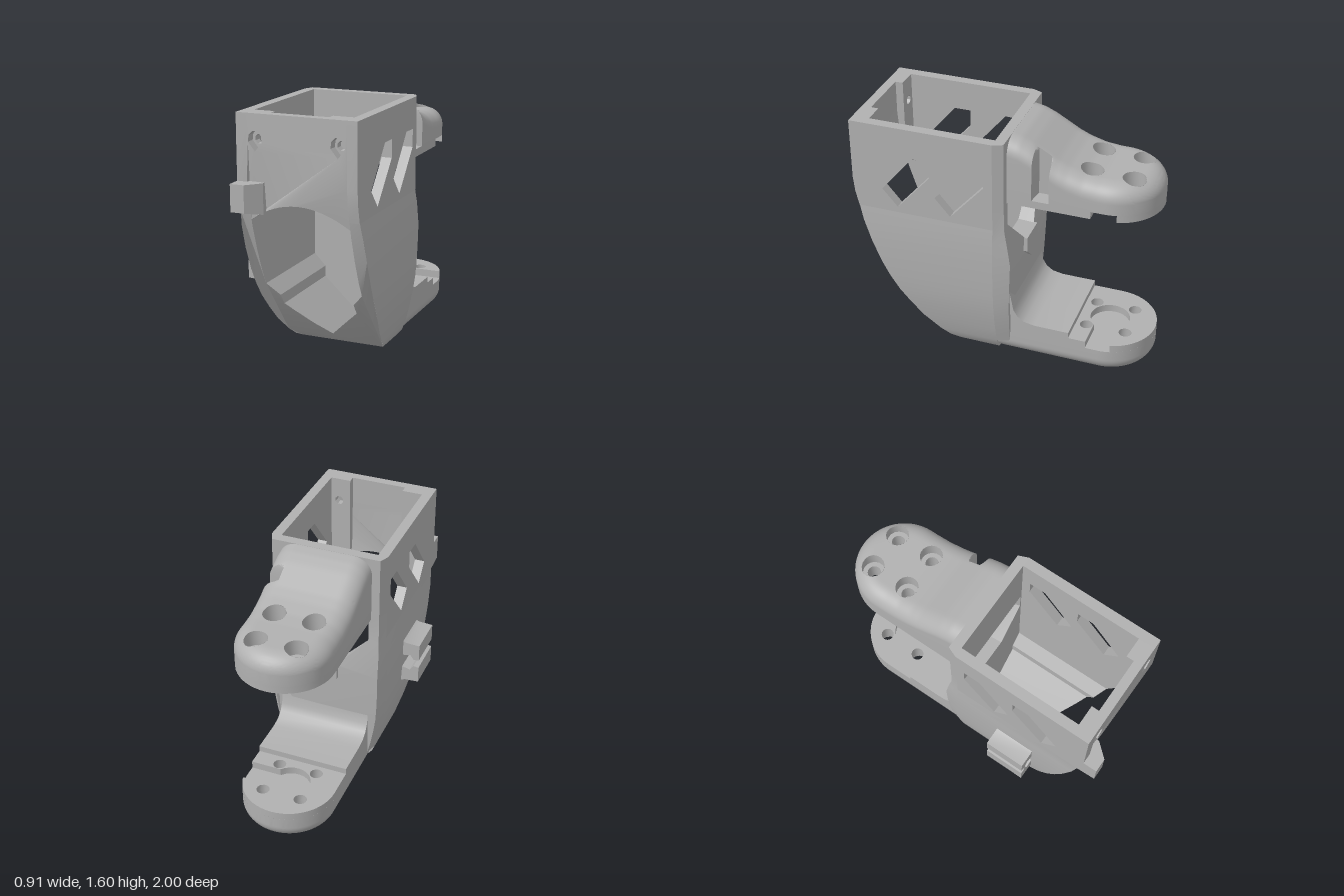
import * as THREE from 'three';
import { mergeGeometries, toCreasedNormals } from 'three/addons/utils/BufferGeometryUtils.js';

const CX = 0.055; // centre line of the bracket

const grey = new THREE.MeshStandardMaterial({ color: 0xb0b0b0, side: THREE.DoubleSide });
grey.name = 'grey plastic';

// Piecewise linear lookup in [key, value] pairs with rising keys
function lookup(table, k) {
  for (let i = 1; i < table.length; i++) {
    const [a, va] = table[i - 1], [b, vb] = table[i];
    if (k <= b) return va + (vb - va) * Math.max(0, (k - a) / (b - a));
  }
  return table[table.length - 1][1];
}

const vec = (pts) => pts.map(([x, y]) => new THREE.Vector2(x, y));
const mirrored = (pts) => pts.map(([x, y]) => [-x, y]).reverse();

function circle(cx, cy, r, n = 8) {
  return Array.from({ length: n }, (_, i) => {
    const a = ((i + 0.5) / n) * Math.PI * 2;
    return [cx + r * Math.cos(a), cy + r * Math.sin(a)];
  });
}

function shapeOf(pts, holes = []) {
  const shape = new THREE.Shape(vec(pts));
  holes.forEach((h) => shape.holes.push(new THREE.Path(vec(h))));
  return shape;
}

const slab = (pts, depth, holes) =>
  new THREE.ExtrudeGeometry(shapeOf(pts, holes), { depth, bevelEnabled: false, curveSegments: 12 });

// Move every vertex by a rule
function bend(geo, rule) {
  const p = geo.attributes.position, v = new THREE.Vector3();
  for (let i = 0; i < p.count; i++) {
    rule(v.fromBufferAttribute(p, i));
    p.setXYZ(i, v.x, v.y, v.z);
  }
  return geo;
}

function part(name, geo, crease = 0.5) {
  const plain = geo.index ? geo.toNonIndexed() : geo;
  const mesh = new THREE.Mesh(toCreasedNormals(plain, crease), grey);
  mesh.name = name;
  return mesh;
}

// Curved front edge, bulging back and half width of the housing by height
const FRONT = [[0, 0.2], [0.04, 0.3], [0.12, 0.4], [0.22, 0.5], [0.4, 0.63], [0.55, 0.72],
  [0.75, 0.8], [0.9, 0.85], [1.1, 0.9], [1.2, 0.91], [1.6, 0.91]];
const BACK = [[0, -0.1], [0.4, -0.115], [0.78, -0.13], [1, -0.085], [1.6, -0.085]];
const SIDE = [[0.22, 0], [0.28, 0.02], [0.305, 0.05], [0.325, 0.1], [0.35, 0.2], [0.37, 0.3],
  [0.385, 0.4], [0.392, 0.5], [0.396, 0.6], [0.398, 0.75], [0.394, 0.9], [0.385, 1]];
const CAVITY = [[0.32, 1], [0.32, 0.9], [0.32, 0.75], [0.32, 0.6], [0.32, 0.5], [0.245, 0.42],
  [0.245, 0.35], [0.18, 0.29], [0.09, 0.205]];

// Arm: flat face at y = 0, rounded upper side of thickness t(z), round tip, screw holes
const HW = 0.305, ZC = -0.695;
const SCREWS = [-0.128, 0.128].flatMap((x) => [-0.57, -0.83].map((z) => [x, z]));
const BORE = 0.072, SHELF = 0.13, FACE = 0.05;

function armGeometry(z0, thickness, cableNotch) {
  const top = (x, z) => {
    const d = z > ZC ? HW - Math.abs(x) : HW - Math.hypot(x, z - ZC);
    const k = THREE.MathUtils.clamp(1 - d / 0.12, 0, 1);
    return thickness(z) - 0.11 * (1 - Math.sqrt(1 - k * k));
  };
  // rows along the arm, columns across it; outer columns drop to form the side walls
  const rows = [], cols = 48, nz = 40, na = 30;
  for (let i = 0; i <= nz; i++) rows.push([z0 + ((ZC - z0) * i) / nz, HW]);
  for (let i = 1; i <= na; i++) {
    const a = (i / na) * Math.PI / 2;
    rows.push([ZC - HW * Math.sin(a), HW * Math.cos(a)]);
  }
  const grid = rows.map(([z, w]) => {
    const line = [];
    for (let j = -1; j <= cols + 1; j++) {
      const s = THREE.MathUtils.clamp((2 * j) / cols - 1, -1, 1);
      const p = new THREE.Vector3(w * Math.sin(s * Math.PI / 2), 0, z);
      for (const [hx, hz] of SCREWS) {
        const d = Math.hypot(p.x - hx, p.z - hz);
        if (d > 0 && Math.abs(d - BORE) < 0.013) {
          p.x = hx + ((p.x - hx) * BORE) / d;
          p.z = hz + ((p.z - hz) * BORE) / d;
        }
      }
      p.y = j < 0 || j > cols ? FACE : top(p.x, p.z);
      if (cableNotch && Math.abs(z + 0.3) < 0.045) p.x = Math.min(p.x, 0.2);
      line.push(p);
    }
    return line;
  });
  const tri = [];
  for (let i = 0; i + 1 < grid.length; i++) for (let j = 0; j + 1 < grid[i].length; j++) {
    const a = grid[i][j], b = grid[i][j + 1], c = grid[i + 1][j + 1], d = grid[i + 1][j];
    const mx = (a.x + b.x + c.x + d.x) / 4, mz = (a.z + b.z + c.z + d.z) / 4;
    if (SCREWS.some(([x, z]) => Math.hypot(mx - x, mz - z) < BORE)) continue;
    for (const p of [a, b, c, a, c, d]) tri.push(p.x, p.y, p.z);
  }
  // counterbores: outer wall, shelf, narrow shaft
  for (const [x, z] of SCREWS) {
    const ring = (r, y) => circle(x, z, r, 16).map(([px, pz]) =>
      new THREE.Vector3(px, y === null ? top(px, pz) : y, pz));
    const rings = [ring(BORE, null), ring(BORE, SHELF), ring(0.042, SHELF), ring(0.042, 0)];
    for (let k = 0; k < 3; k++) for (let i = 0; i < 16; i++) {
      const n = (i + 1) % 16, [a, b, c, d] = [rings[k][i], rings[k][n], rings[k + 1][n], rings[k + 1][i]];
      for (const p of [a, b, c, a, c, d]) tri.push(p.x, p.y, p.z);
    }
  }
  const skin = new THREE.BufferGeometry();
  skin.setAttribute('position', new THREE.Float32BufferAttribute(tri, 3));

  // flat face layer with a one-armed recess, and the recess floor behind it
  const arc = (r, a0, a1, n) => Array.from({ length: n + 1 }, (_, i) => {
    const a = a0 + ((a1 - a0) * i) / n;
    return [r * Math.cos(a), -ZC + r * Math.sin(a)];
  });
  const holes = SCREWS.map(([x, z]) => circle(x, -z, 0.042, 16));
  const face = slab([[-HW, -z0], [HW, -z0], [HW, -ZC - 0.08],
    ...arc(0.13, -0.66, -2 * Math.PI + 0.66, 20), ...arc(HW, 0.265, Math.PI, 24)], FACE, holes);
  const floor = new THREE.ShapeGeometry(
    shapeOf([[-HW, -z0], [HW, -z0], ...arc(HW, 0, Math.PI, 28)], holes)).toNonIndexed();
  floor.translate(0, 0, FACE);
  const flat = [face, floor].map((g) => g.rotateX(-Math.PI / 2));
  return mergeGeometries([skin, ...flat].map((g) => {
    g.deleteAttribute('uv');
    g.deleteAttribute('normal');
    return g;
  }));
}

// Turn a part upside down, keeping its faces outward
function flip(geo) {
  const p = geo.attributes.position, v = [new THREE.Vector3(), new THREE.Vector3()];
  for (let i = 0; i < p.count; i += 3) {
    v[0].fromBufferAttribute(p, i + 1);
    v[1].fromBufferAttribute(p, i + 2);
    p.setXYZ(i + 1, v[1].x, v[1].y, v[1].z);
    p.setXYZ(i + 2, v[0].x, v[0].y, v[0].z);
  }
  for (let i = 0; i < p.count; i++) p.setY(i, -p.getY(i));
  return geo;
}

export function createModel() {
  const model = new THREE.Group();
  model.name = 'bracket';
  const add = (name, geo, x = 0, y = 0, z = 0, crease) => {
    const mesh = part(name, geo, crease);
    mesh.position.set(x, y, z);
    model.add(mesh);
  };

  // Lower housing: U section with V floor, cut to the curved front
  const lower = slab([[0, 0], ...SIDE, ...CAVITY, [0, 0.12], ...mirrored(CAVITY), ...mirrored(SIDE)], 1);
  add('lowerHousing', bend(lower, (v) => { v.z = v.z > 0.5 ? lookup(FRONT, v.y) : -0.02; }), CX);

  // Upper side walls with two slanted slots each
  const slot = [[0.71, 1.155], [0.5, 1.405], [0.39, 1.405], [0.39, 1.29], [0.61, 1.04]];
  const slots = [slot, slot.map(([z, y]) => [z - 0.352, y])];
  const wall = [[-0.02, 1], [0.877, 1], [0.9, 1.1], [0.91, 1.2], [0.91, 1.6], [-0.02, 1.6]];
  for (const [name, x] of [['rightWall', 0.44], ['leftWall', -0.265]])
    add(name, slab(wall, 0.065, slots).rotateY(-Math.PI / 2), x);

  // Front wall: arched lower edge, two screw holes, thicker at the sides
  const archY = (x) => 1.065 - 0.115 * (x / 0.32) ** 2;
  const frontPiece = (x0, x1, holes) => {
    const arch = Array.from({ length: 17 }, (_, i) => x0 + ((x1 - x0) * i) / 16).map((x) => [x, archY(x)]);
    return slab([...arch, [x1, 1.2], [x1, 1.6], [x0, 1.6], [x0, 1.2]], 0.05, holes);
  };
  const drop = (x) => [[x, 1.375], [x + 0.045, 1.43], [x + 0.04, 1.47], [x + 0.015, 1.495],
    [x - 0.015, 1.495], [x - 0.04, 1.47], [x - 0.045, 1.43]];
  add('frontWall', bend(frontPiece(-0.32, 0.32, [drop(-0.263), drop(0.263)]),
    (v) => { v.z = v.z > 0.02 ? lookup(FRONT, v.y) : Math.min(0.85, lookup(FRONT, v.y) - 0.05); }), CX);
  for (const [x0, x1, hx] of [[-0.32, -0.185, -0.263], [0.185, 0.32, 0.263]])
    add('frontPad', frontPiece(x0, x1, [circle(hx, 1.44, 0.03)]), CX, 0, 0.8);

  // Back wall with chamfered corners and a cable window
  const edge = [...SIDE.slice(3), [0.385, 1.2], [0.385, 1.6]];
  const window = [[-0.1, 0.79], [0.1, 0.79], [0.31, 1], [0.31, 1.15], [-0.31, 1.15], [-0.31, 1]];
  add('backWall', bend(slab([...edge, ...mirrored(edge)], 1, [window]), (v) => {
    if (v.z < 0.5) v.x *= 0.93;
    v.z = v.z > 0.5 ? -0.02 : lookup(BACK, v.y);
  }), CX);
  add('cableLip', slab([[-0.1, 0.79], [-0.1, 0.69], [0, 0.6], [0.1, 0.69], [0.1, 0.79]], 0.06), CX, 0, -0.15);

  // Arms
  const RISE = [[-1, 0.23], [-0.65, 0.232], [-0.55, 0.242], [-0.45, 0.27], [-0.38, 0.3], [-0.3, 0.345],
    [-0.22, 0.39], [-0.15, 0.42], [-0.08, 0.435]];
  add('upperArm', armGeometry(-0.07, (z) => lookup(RISE, z), true), CX, 1.165);
  add('lowerArm', flip(armGeometry(-0.02, () => 0.23, false)), CX, 0.23);

  // Raised step and fillet between the lower arm and the back wall
  const step = [[-0.5, 0.22], [-0.5, 0.27], [-0.27, 0.27], [-0.2, 0.283], [-0.155, 0.315],
    [-0.128, 0.36], [-0.115, 0.43], [-0.1, 0.5], [-0.05, 0.5], [-0.05, 0.22]];
  add('armFillet', slab(step, 2 * HW).rotateY(-Math.PI / 2), CX + HW, 0, 0, 0.6);

  // Corner block on the front
  const block = [[-0.33, -0.85], [-0.33, -1], [-0.24, -1], [-0.16, -0.91], [-0.16, -0.85]];
  add('cornerBlock', bend(slab(block, 0.19).rotateX(-Math.PI / 2),
    (v) => { if (v.y < 0.1 && v.z > 0.95) v.y += 0.02; }), 0, 1);

  // Cable clip: two facing hooks on the side
  const hook = [[-0.455, 0.145], [-0.455, 0.03], [-0.42, 0.025], [-0.395, 0.06], [-0.33, 0.045],
    [-0.33, 0.165], [-0.36, 0.15]];
  for (const s of [1, -1])
    add('clipHook', slab(hook.map(([x, y]) => [x, s * y]), 0.27), 0, 0.62, 0.29);

  return model;
}
